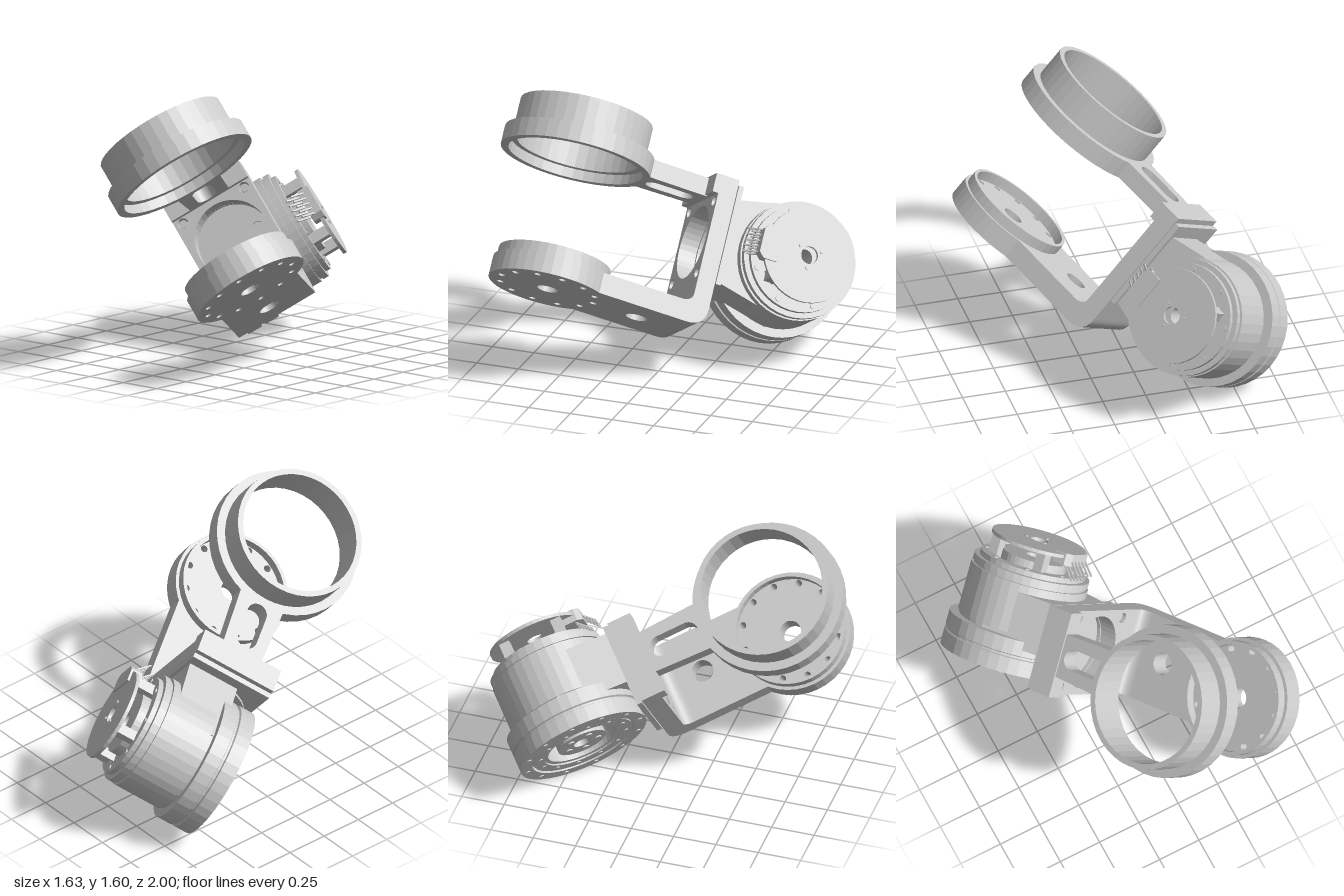
import * as THREE from 'three';

const mat = new THREE.MeshStandardMaterial({ color: 0xcccccc, flatShading: true, side: THREE.DoubleSide });
const SEG = 40;
const MID = 0.297;     // bracket centre line (local x)
const HALF = 0.25;     // bracket half width
const MOTOR_Y = 0.575, MOTOR_Z = -0.395;

function add(parent, name, geo, x = 0, y = 0, z = 0) {
  const m = new THREE.Mesh(geo, mat);
  m.name = name;
  m.position.set(x, y, z);
  parent.add(m);
  return m;
}
const lathe = pts => new THREE.LatheGeometry(pts.map(p => new THREE.Vector2(...p)), SEG);
const extrude = (shape, depth) => new THREE.ExtrudeGeometry(shape, { depth, bevelEnabled: false, curveSegments: 20 });
const cyl = (r, h, n = 12) => new THREE.CylinderGeometry(r, r, h, n);
const poly = pts => new THREE.Shape(pts.map(p => new THREE.Vector2(...p)));
function disc(r) {
  const s = new THREE.Shape();
  s.absarc(0, 0, r, 0, Math.PI * 2, false);
  return s;
}
function circleHole(shape, x, y, r) {
  const p = new THREE.Path();
  p.absarc(x, y, r, 0, Math.PI * 2, true);
  shape.holes.push(p);
}
function ringOf(count, radius, fn, start = 0) {
  for (let i = 0; i < count; i++) {
    const t = start + i / count * Math.PI * 2;
    fn(Math.cos(t) * radius, Math.sin(t) * radius);
  }
}

// U-shaped bracket: wall, rounded corner, lower disc arm, upper slotted arm
function bracket(root) {
  const g = new THREE.Group();
  g.name = 'bracket';
  root.add(g);
  const cx = 0.285, discZ = 0.905, ringZ = 0.922, R = 0.342;

  // wall with large bore, and the thin motor flange behind it
  const plate = (y0, y1) => {
    const s = poly([[MID - HALF, y0], [MID + HALF, y0], [MID + HALF, y1], [MID - HALF, y1]]);
    circleHole(s, MID, 0.57, 0.215);
    return s;
  };
  const wall = plate(0.22, 0.93);
  const flange = plate(0.31, 0.9);
  for (const sx of [-1, 1]) for (const sy of [-1, 1]) {
    circleHole(wall, MID + sx * 0.2, 0.57 + sy * 0.215, 0.03);
    const screw = add(g, 'wallScrew', cyl(0.024, 0.1, 12), MID + sx * 0.2, 0.57 + sy * 0.215, 0.07);
    screw.rotation.x = Math.PI / 2;
  }
  add(g, 'wall', extrude(wall, 0.105), 0, 0, 0.035);
  add(g, 'motorFlange', extrude(flange, 0.03), 0, 0, 0);

  // floor of the bore, with a wire hole
  const floor = disc(0.218);
  circleHole(floor, 0.15, 0.008, 0.035);
  add(g, 'boreFloor', extrude(floor, 0.02), MID, 0.57, -0.012);

  // rounded corner, profile across the bracket
  const c = new THREE.Shape();
  c.moveTo(-0.035, 0.22);
  c.lineTo(-0.035, 0.16);
  c.quadraticCurveTo(-0.035, 0.05, -0.15, 0.05);
  c.lineTo(-0.21, 0.05);
  c.lineTo(-0.21, 0.17);
  c.quadraticCurveTo(-0.14, 0.17, -0.14, 0.22);
  c.closePath();
  add(g, 'corner', extrude(c, HALF * 2).rotateY(Math.PI / 2), MID - HALF, 0, 0);

  // lower arm, its far end cut to the disc's curve
  const left = MID - HALF - cx, right = MID + HALF - cx;
  const arm = [[MID + HALF, -0.21], [MID - HALF, -0.21]];
  for (let i = 0; i <= 12; i++) {
    const x = left + (right - left) * i / 12;
    arm.push([cx + x, -discZ + Math.sqrt(R * R - x * x) - 0.003]);
  }
  const a = poly(arm);
  circleHole(a, MID, -0.36, 0.062);
  add(g, 'lowerArm', extrude(a, 0.12).rotateX(-Math.PI / 2), 0, 0.05, 0);

  // bolted disc with a raised rim
  const d = disc(R);
  circleHole(d, 0, 0, 0.06);
  ringOf(12, 0.278, (x, y) => circleHole(d, x, y, 0.02), -0.05);
  add(g, 'disc', extrude(d, 0.12).rotateX(-Math.PI / 2), cx, 0.05, discZ);
  add(g, 'discRim', lathe([[0.303, 0.165], [0.323, 0.165], [0.323, 0.23], [0.303, 0.23], [0.303, 0.165]]), cx, 0, discZ);

  // upper clamp block and slotted arm
  add(g, 'upperBlock', new THREE.BoxGeometry(HALF * 2, 0.11, 0.04), MID, 0.875, 0.155);
  const u = poly([[MID - 0.125, -0.16], [MID + 0.125, -0.16], [MID + 0.14, -0.518], [MID - 0.14, -0.518]]);
  const slot = new THREE.Path();
  slot.absarc(MID, -0.26, 0.06, 0, Math.PI, false);
  slot.absarc(MID, -0.43, 0.06, Math.PI, Math.PI * 2, false);
  slot.closePath();
  u.holes.push(slot);
  add(g, 'upperArm', extrude(u, 0.105).rotateX(-Math.PI / 2), 0, 0.815, 0);

  // stepped bearing ring
  add(g, 'bearingRing', lathe([[0.388, 0.812], [0.432, 0.812], [0.432, 0.92], [0.382, 0.92], [0.382, 1.097],
    [0.35, 1.097], [0.35, 0.868], [0.388, 0.868], [0.388, 0.812]]), cx, 0, ringZ);
}

// Gear motor lying across the back, its axis along local x
function motor(root) {
  const box = poly([[-MOTOR_Z, MOTOR_Y - 0.338], [-MOTOR_Z, MOTOR_Y + 0.338], [0.005, MOTOR_Y + 0.25], [0.005, MOTOR_Y - 0.25]]);
  add(root, 'motorHousing', extrude(box, 0.31).rotateY(Math.PI / 2), 0.22, 0, 0);

  const g = new THREE.Group();
  g.name = 'motor';
  g.position.set(0, MOTOR_Y, MOTOR_Z);
  g.rotation.z = -Math.PI / 2;
  root.add(g);
  add(g, 'motorBody', lathe([[0.05, 0.09], [0.145, 0.09], [0.145, 0.2], [0.21, 0.2], [0.21, 0.085], [0.235, 0.085],
    [0.235, 0.075], [0.3, 0.075], [0.3, 0.095], [0.312, 0.095], [0.312, 0.07], [0.385, 0.07], [0.385, 0.16],
    [0.372, 0.165], [0.372, 0.178], [0.385, 0.183], [0.385, 0.27], [0.33, 0.27], [0.33, 0.29], [0.34, 0.29],
    [0.34, 0.575], [0.325, 0.575], [0.325, 0.59], [0.335, 0.59], [0.335, 0.625], [0.305, 0.625], [0.305, 0.655],
    [0.24, 0.655], [0.24, 0.635], [0.05, 0.635], [0.05, 0.09]]));
  ringOf(12, 0.35, (x, z) => add(g, 'rimBolt', cyl(0.016, 0.008, 10), x, 0.068, z));
  ringOf(12, 0.262, (x, z) => add(g, 'outputBolt', cyl(0.013, 0.008, 10), x, 0.073, z), 0.2);
  ringOf(5, 0.095, (x, z) => add(g, 'hubBolt', cyl(0.022, 0.012, 12), x, 0.088, z));
  ringOf(8, 0.275, (x, z) => add(g, 'endBolt', cyl(0.016, 0.01, 10), x, 0.657, z), 0.3);

  // encoder board on standoffs
  add(g, 'encoderHub', lathe([[0.05, 0.63], [0.19, 0.63], [0.19, 0.69], [0.05, 0.69], [0.05, 0.63]]));
  ringOf(4, 0.225, (x, z) => add(g, 'standoff', new THREE.BoxGeometry(0.06, 0.13, 0.06), x, 0.7, z), 0.785);
  add(g, 'encoderBoard', lathe([[0.05, 0.762], [0.272, 0.762], [0.272, 0.782], [0.05, 0.782], [0.05, 0.762]]));
  ringOf(3, 0.075, (x, z) => add(g, 'boardScrew', cyl(0.01, 0.01, 8), x, 0.785, z));
}

// Connector block on the board's edge, two rows of pins slanting inward
function connector(root) {
  const g = new THREE.Group();
  g.name = 'connector';
  g.position.set(0.76, 0.575, -0.155);
  root.add(g);
  const s = poly([[-0.055, -0.07], [-0.025, -0.1], [0.055, -0.1], [0.055, 0.1], [-0.025, 0.1], [-0.055, 0.07]]);
  add(g, 'connectorBody', extrude(s, 0.07).rotateY(Math.PI / 2), -0.035, 0, 0);
  for (const off of [-0.018, 0.018]) for (let i = 0; i < 5; i++) {
    const pin = add(g, 'pin', new THREE.BoxGeometry(0.009, 0.009, 0.13), -0.045 + off, -0.066 + i * 0.033, 0.055 + off);
    pin.rotation.y = -Math.PI / 4;
  }
}

export function createModel() {
  const model = new THREE.Group();
  model.name = 'robotJoint';
  const joint = new THREE.Group();
  joint.name = 'joint';
  joint.rotation.set(0, THREE.MathUtils.degToRad(37), THREE.MathUtils.degToRad(40), 'ZYX');
  model.add(joint);
  bracket(joint);
  motor(joint);
  connector(joint);
  return model;
}
